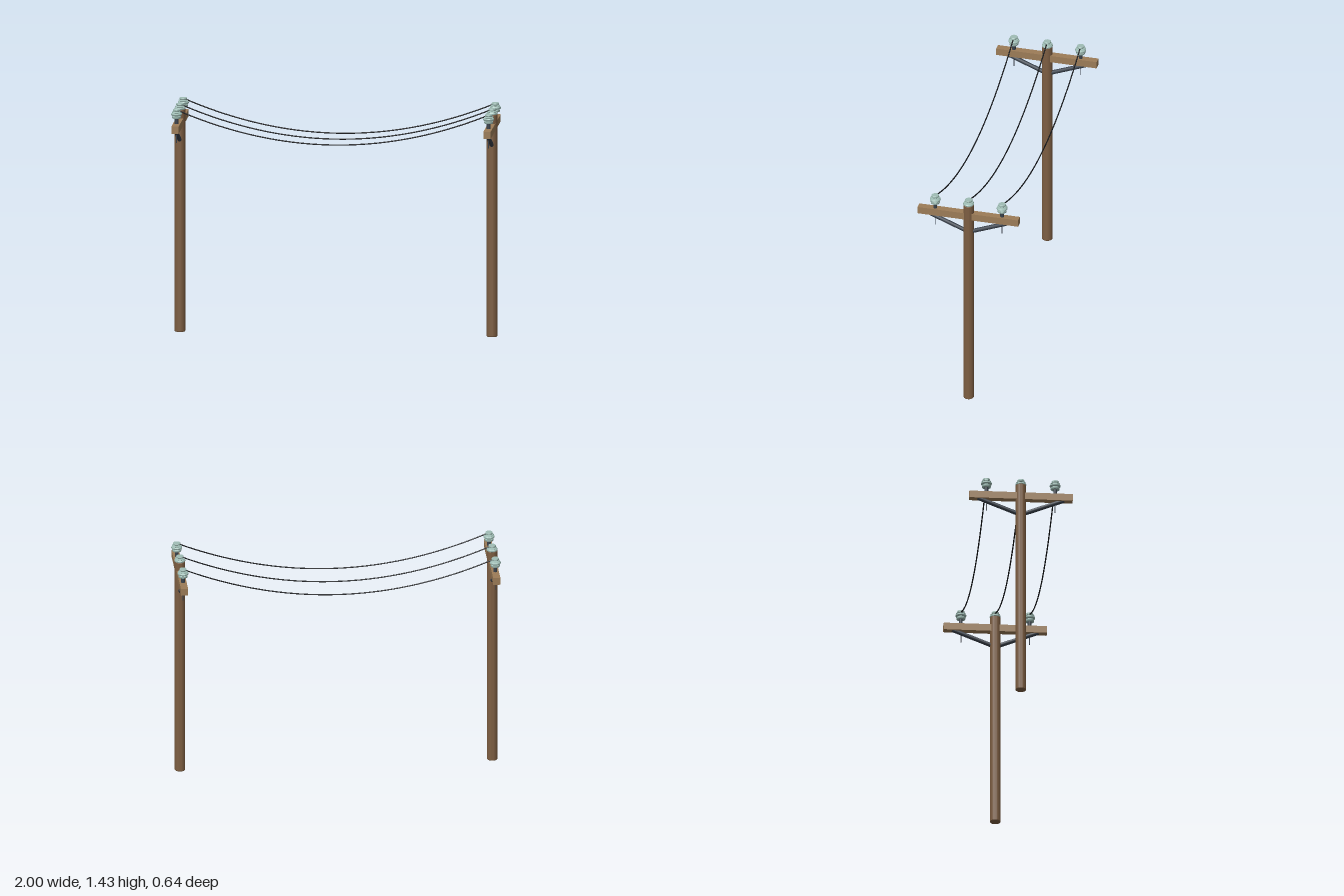
import * as THREE from 'three';
import { toCreasedNormals } from 'three/addons/utils/BufferGeometryUtils.js';

const POLE_X = 0.967, WIRE_Z = [-0.213, 0, 0.213];
const mat = (color) => new THREE.MeshStandardMaterial({ color });
const wood = mat(0x7d5e42), plank = mat(0x9c7c57), steel = mat(0x3a424c);
const glass = mat(0x9fbdb5), cable = mat(0x15171a);

function add(parent, name, geometry, material, x = 0, y = 0, z = 0) {
  const mesh = new THREE.Mesh(geometry, material);
  mesh.name = name;
  mesh.position.set(x, y, z);
  parent.add(mesh);
  return mesh;
}

// Turned solid from [radius, height] pairs, with crisp edges
function turned(points, sides = 24) {
  const profile = points.map(([r, y]) => new THREE.Vector2(r, y));
  return toCreasedNormals(new THREE.LatheGeometry(profile, sides), 0.5);
}

// Cylinder whose axis runs between two points
function strut(parent, name, a, b, radius) {
  const dir = b.clone().sub(a);
  const mesh = add(parent, name, new THREE.CylinderGeometry(radius, radius, dir.length(), 16), steel);
  mesh.position.copy(a).add(b).multiplyScalar(0.5);
  mesh.quaternion.setFromUnitVectors(new THREE.Vector3(0, 1, 0), dir.normalize());
}

function createPole() {
  const pole = new THREE.Group();

  // Round post with slightly eased ends
  add(pole, 'post', turned([[0, 0], [0.03, 0], [0.033, 0.004], [0.033, 1.388], [0.03, 1.393], [0, 1.393]], 32), wood);
  add(pole, 'crossarm', new THREE.BoxGeometry(0.045, 0.045, 0.64), plank, 0, 1.3135);

  // Diagonal braces under the arm
  for (const s of [-1, 1]) {
    strut(pole, 'brace', new THREE.Vector3(0, 1.193, 0), new THREE.Vector3(0, 1.298, s * 0.265), 0.013);
  }

  // Ribbed insulators: one on the post, one on each half of the arm
  const ribbed = turned([
    [0, 1.37], [0.026, 1.37], [0.028, 1.374], [0.028, 1.383], [0.024, 1.386],
    [0.031, 1.389], [0.034, 1.393], [0.034, 1.399], [0.031, 1.403], [0.025, 1.405],
    [0.03, 1.408], [0.029, 1.411], [0.02, 1.413], [0.023, 1.416], [0.023, 1.424], [0.021, 1.427], [0, 1.427],
  ]);
  for (const z of WIRE_Z) {
    add(pole, 'insulator', ribbed, glass, 0, 0, z);
    if (z === 0) continue;
    add(pole, 'insulatorPin', new THREE.CylinderGeometry(0.012, 0.012, 0.045, 16), steel, 0, 1.3525, z);
    add(pole, 'bolt', new THREE.CylinderGeometry(0.003, 0.003, 0.13, 10), steel, 0, 1.28, z);
  }
  return pole;
}

export function createModel() {
  const model = new THREE.Group();
  model.name = 'powerLine';

  for (const s of [-1, 1]) {
    const pole = createPole();
    pole.name = s > 0 ? 'leftPole' : 'rightPole';
    pole.position.x = s * POLE_X;
    model.add(pole);
  }

  // Sagging wires between the insulators
  const points = Array.from({ length: 25 }, (_, i) => {
    const t = i / 12 - 1;
    return new THREE.Vector3(t * POLE_X, 1.219 + 0.203 * t * t, 0);
  });
  const sag = new THREE.TubeGeometry(new THREE.CatmullRomCurve3(points), 64, 0.004, 8);
  for (const z of WIRE_Z) add(model, 'wire', sag, cable, 0, 0, z);

  return model;
}
